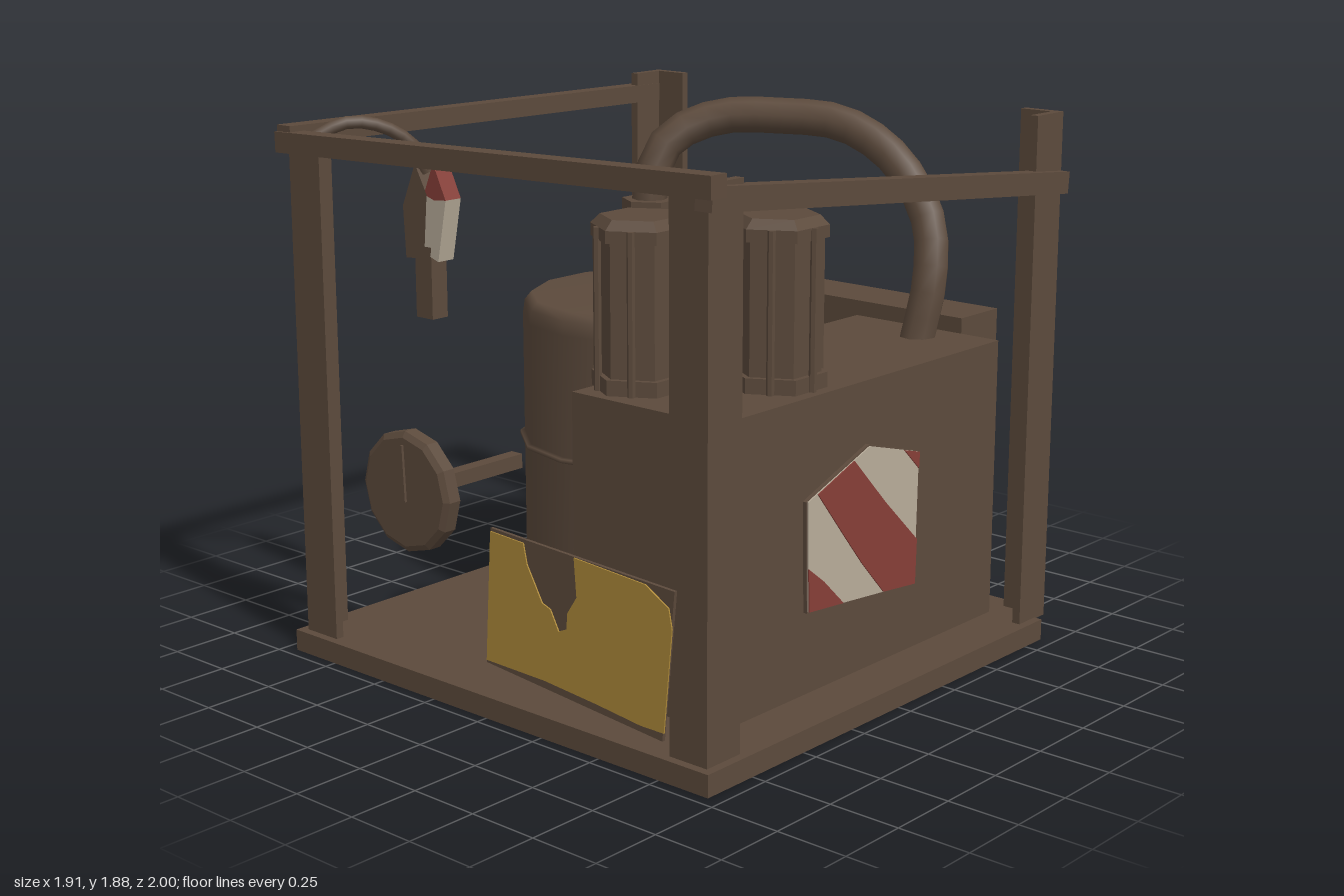
import * as THREE from 'three';

const mat = (name, color, side = THREE.FrontSide) => {
  const m = new THREE.MeshStandardMaterial({ color, side });
  m.name = name;
  return m;
};

export function createModel() {
  const model = new THREE.Group();
  const brown = mat('rusted brown', 0x5c4a3c);
  const white = mat('faded white', 0xb8ac9a);
  const red = mat('faded red', 0x873f38);
  const yellow = mat('worn yellow', 0xae8a3a);

  const add = (name, geo, material = brown, parent = model) => {
    const mesh = new THREE.Mesh(geo, material);
    mesh.name = name;
    parent.add(mesh);
    return mesh;
  };
  // Box given by its minimum and maximum corners
  const box = (name, x0, x1, y0, y1, z0, z1, parent = model) => {
    const g = new THREE.BoxGeometry(x1 - x0, y1 - y0, z1 - z0);
    g.translate((x0 + x1) / 2, (y0 + y1) / 2, (z0 + z1) / 2);
    return add(name, g, brown, parent);
  };
  // Flat outline extruded towards +z
  const slab = (pts, depth) => new THREE.ExtrudeGeometry(
    new THREE.Shape(pts.map(([x, y]) => new THREE.Vector2(x, y))), { depth, bevelEnabled: false });
  // Faceted prism with a corner facing +z
  const prism = (rTop, rBottom, y0, y1, sides) => {
    const g = new THREE.CylinderGeometry(rTop, rBottom, y1 - y0, sides).toNonIndexed();
    g.translate(0, (y0 + y1) / 2, 0);
    g.computeVertexNormals();
    return g;
  };
  // Square bar between two points
  const bar = (name, a, b, w, h) => {
    const p = new THREE.Vector3(...a), q = new THREE.Vector3(...b);
    const m = add(name, new THREE.BoxGeometry(w, h, p.distanceTo(q)));
    m.position.copy(p).lerp(q, 0.5);
    m.lookAt(q);
  };
  const tube = (name, pts, segments, radius, sides) => add(name, new THREE.TubeGeometry(
    new THREE.CatmullRomCurve3(pts.map(p => new THREE.Vector3(...p))), segments, radius, sides));

  // Base plate with one clipped rear corner
  const base = slab([[-0.95, -0.96], [0.95, -0.96], [0.95, 0.85], [0.88, 0.85], [0.78, 0.945], [-0.95, 0.945]], 0.075);
  base.rotateX(-Math.PI / 2);
  add('basePlate', base);

  // Angle-iron corner posts
  for (const [sx, sz, top] of [[-1, 1, 1.8], [1, 1, 1.85], [-1, -1, 1.87], [1, -1, 1.87]]) {
    const post = new THREE.Group();
    post.name = 'cornerPost';
    const zo = sz > 0 ? 0.93 : -0.91;
    const xs = [sx * 0.92, sx * 0.77].sort((a, b) => a - b);
    const xt = [sx * 0.92, sx * 0.89].sort((a, b) => a - b);
    const zs = [zo, zo - sz * 0.155].sort((a, b) => a - b);
    const zt = [zo, zo - sz * 0.03].sort((a, b) => a - b);
    box('postCrossLeg', ...xs, 0.07, top, ...zt, post);
    box('postSideLeg', ...xt, 0.07, top, ...zs, post);
    model.add(post);
  }

  // Bent top rails
  bar('frontRail', [-0.955, 1.79, 0.925], [0.955, 1.845, 0.925], 0.07, 0.07);
  bar('leftRail', [0.92, 1.81, 0.95], [0.92, 1.63, -0.91], 0.065, 0.075);
  bar('rightRail', [-0.92, 1.815, 0.95], [-0.92, 1.79, -0.9], 0.065, 0.065);

  // Tank with a seam around the middle
  const profile = [[0, 0.12], [0.43, 0.12], [0.465, 0.15], [0.472, 0.2], [0.472, 0.645], [0.488, 0.648],
    [0.488, 0.662], [0.472, 0.665], [0.472, 1.1], [0.465, 1.15], [0.44, 1.18], [0, 1.18]];
  const tank = add('tank', new THREE.LatheGeometry(profile.map(([x, y]) => new THREE.Vector2(x, y)), 14));
  tank.position.set(-0.33, 0, -0.225);

  // Tank fitting and the hose arching over to the cabinet
  for (const [name, r, y0, y1] of [['tankCap', 0.17, 1.18, 1.285], ['hoseCollar', 0.107, 1.45, 1.52]])
    add(name, prism(r, r, y0, y1, 6)).position.set(-0.335, 0, -0.22);
  tube('hose', [[-0.335, 1.2, -0.22], [-0.335, 1.58, -0.22], [-0.31, 1.72, -0.28], [-0.2, 1.8, -0.41],
    [0, 1.81, -0.54], [0.2, 1.79, -0.635], [0.4, 1.68, -0.67], [0.55, 1.49, -0.66],
    [0.6, 1.3, -0.61], [0.585, 1.08, -0.56]], 24, 0.063, 8);

  // Cabinet and rear panel
  box('cabinet', 0.23, 0.835, 0.12, 1.1, -0.69, 0.78);
  box('rearPanel', -0.62, 0.62, 0.01, 1.13, -1, -0.78);

  // Hexagonal canisters on the cabinet
  for (const [x, z] of [[0.35, 0.59], [0.655, 0.285]]) {
    const can = new THREE.Group();
    can.name = 'canister';
    add('canisterBody', prism(0.14, 0.14, 1.1, 1.6, 6), brown, can);
    add('canisterFoot', prism(0.16, 0.16, 1.1, 1.15, 6), brown, can);
    add('canisterRim', prism(0.16, 0.16, 1.58, 1.62, 6), brown, can);
    add('canisterTop', prism(0.13, 0.16, 1.62, 1.65, 6), brown, can);
    for (let i = 0; i < 6; i++) {
      const a = (i + 0.5) * Math.PI / 3;
      const rod = add('canisterRod', prism(0.013, 0.013, 1.1, 1.62, 6), brown, can);
      rod.position.set(0.142 * Math.sin(a), 0, 0.142 * Math.cos(a));
    }
    can.position.set(x, 0, z);
    model.add(can);
  }

  // Pressure gauge
  const gauge = new THREE.Group();
  gauge.name = 'gauge';
  for (const [name, rt, rb, d0, d1] of [['gaugeBody', 0.205, 0.205, 0.93, 0.975], ['gaugeFace', 0.185, 0.205, 0.975, 0.988]]) {
    const g = prism(rt, rb, d0, d1, 12);
    g.rotateX(Math.PI / 2);
    add(name, g, brown, gauge);
  }
  const needle = slab([[-0.013, -0.03], [0.013, -0.03], [0.004, 0.16], [-0.004, 0.16]], 0.009);
  needle.translate(0, 0, 0.988);
  add('gaugeNeedle', needle, brown, gauge);
  box('gaugeStem', -0.025, 0.025, -0.025, 0.025, 0.47, 0.94, gauge);
  gauge.position.set(-0.335, 0.705, 0);
  model.add(gauge);

  // Front sign plate with worn yellow paint
  add('signPlate', slab([[0.035, 0.655], [0.815, 0.62], [0.765, 0.13], [0.005, 0.195]], 0.012)).position.z = 0.945;
  add('signPaint', slab([[0.038, 0.645], [0.185, 0.637], [0.2, 0.57], [0.265, 0.457], [0.3, 0.445], [0.335, 0.38],
    [0.37, 0.395], [0.375, 0.45], [0.415, 0.51], [0.405, 0.637], [0.7, 0.618], [0.795, 0.565], [0.808, 0.5],
    [0.775, 0.16], [0.68, 0.16], [0.5, 0.18], [0.27, 0.2], [0.01, 0.205]], 0.005), yellow).position.z = 0.957;

  // Striped patch on the cabinet side; outlines are (-z, y)
  const sidePlate = (name, pts, x, depth, material) => {
    const g = slab(pts, depth);
    g.rotateY(Math.PI / 2);
    add(name, g, material).position.x = x;
  };
  sidePlate('patchBacking', [[-0.375, 0.77], [-0.365, 0.4], [0.21, 0.35], [0.22, 0.81], [-0.054, 0.89]], 0.835, 0.014, brown);
  sidePlate('patchWhite', [[-0.37, 0.77], [-0.362, 0.405], [0.205, 0.355], [0.215, 0.81], [-0.054, 0.885]], 0.849, 0.005, white);
  sidePlate('patchRedStripe', [[-0.325, 0.785], [-0.19, 0.62], [-0.09, 0.5], [0.03, 0.372], [0.205, 0.355],
    [0.21, 0.51], [0.03, 0.68], [-0.14, 0.855]], 0.854, 0.004, red);
  sidePlate('patchRedCorner', [[-0.368, 0.55], [-0.362, 0.405], [-0.185, 0.39], [-0.29, 0.49]], 0.854, 0.004, red);
  sidePlate('patchRedTip', [[0.13, 0.833], [0.212, 0.755], [0.215, 0.81]], 0.854, 0.004, red);

  // Hanging clamp with its cable
  const clamp = new THREE.Group();
  clamp.name = 'clamp';
  box('clampHandle', -0.7, -0.62, 1.17, 1.42, 0.51, 0.58, clamp);
  for (const [name, material, pts] of [
    ['clampRearJaw', brown, [[-0.755, 1.55], [-0.745, 1.37], [-0.655, 1.38], [-0.635, 1.6], [-0.69, 1.7]]],
    ['clampFrontJaw', white, [[-0.66, 1.4], [-0.585, 1.375], [-0.542, 1.59], [-0.6, 1.585], [-0.648, 1.6]]],
    ['clampTip', red, [[-0.648, 1.6], [-0.6, 1.585], [-0.542, 1.59], [-0.6, 1.71]]]]) {
    add(name, slab(pts, 0.07), material, clamp).position.z = 0.51;
  }
  model.add(clamp);
  tube('clampCable', [[-0.67, 1.67, 0.545], [-0.69, 1.76, 0.58], [-0.74, 1.83, 0.67], [-0.8, 1.85, 0.78], [-0.87, 1.79, 0.9]], 10, 0.022, 6);

  return model;
}
